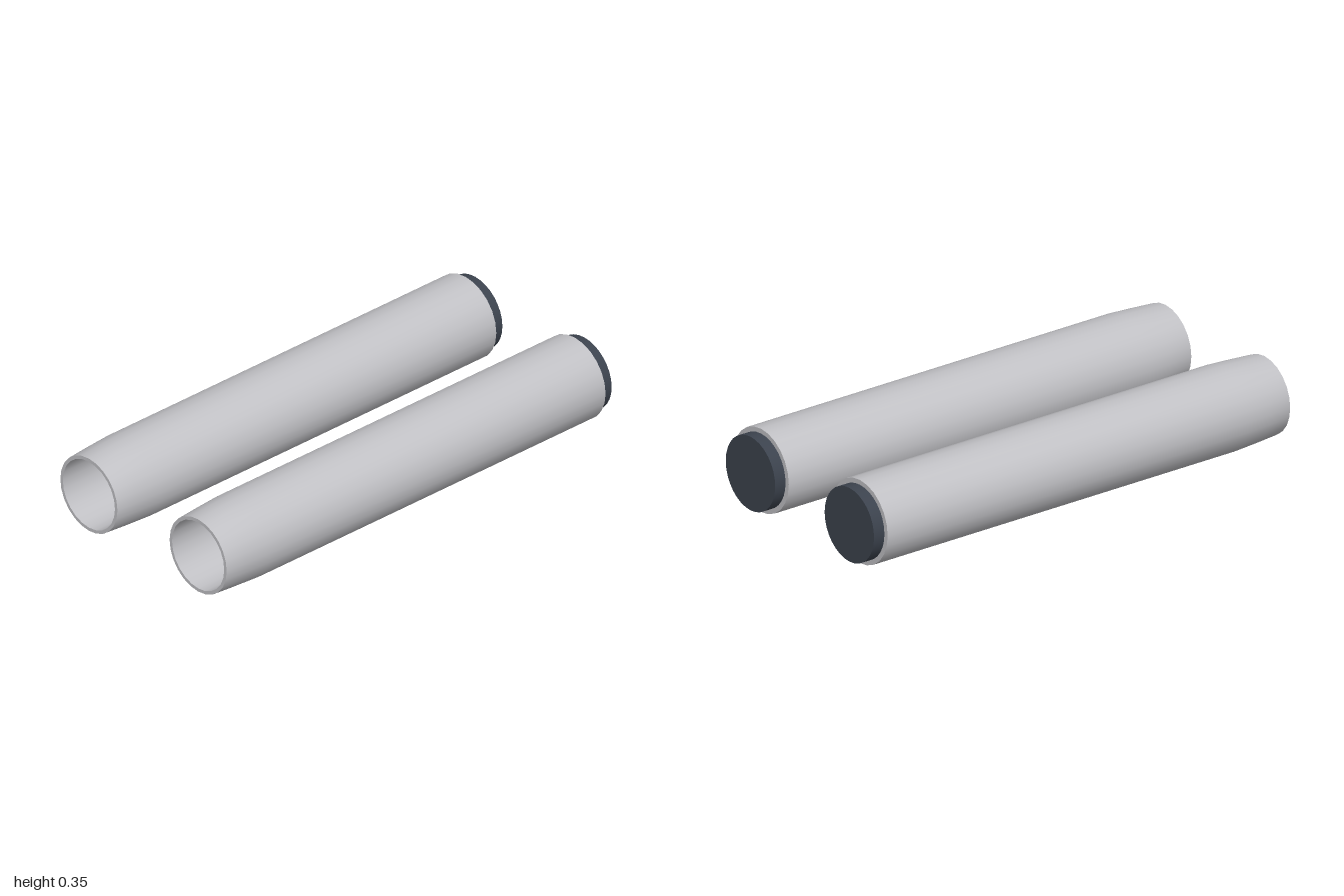
import * as THREE from 'three';
import { toCreasedNormals } from 'three/addons/utils/BufferGeometryUtils.js';

const SIDES = 24;
const AXIS_Y = 0.174;
const AXIS_Z = 0.306;

export function createModel() {
  const model = new THREE.Group();
  model.name = 'tubePair';

  const tubeGrey = new THREE.MeshStandardMaterial({ color: 0xc1c1c5 });
  tubeGrey.name = 'light grey';
  const capGrey = new THREE.MeshStandardMaterial({ color: 0x3c434e });
  capGrey.name = 'dark slate';

  // Hollow tube: tapered mouth at -x, shoulder at +x, then back along the bore
  const profile = [
    [0.16, -1], [0.167, -0.9], [0.173, -0.79], [0.173, 0.95],
    [0.146, 0.95], [0.146, -1], [0.16, -1],
  ].map(([r, x]) => new THREE.Vector2(r, x));
  const tubeGeometry = toCreasedNormals(
    new THREE.LatheGeometry(profile, SIDES).rotateZ(-Math.PI / 2), 0.5);

  // End plug, seated slightly inside the shoulder
  const capGeometry = new THREE.CylinderGeometry(0.153, 0.153, 0.051, 32)
    .rotateZ(-Math.PI / 2);

  for (const side of [1, -1]) {
    const unit = new THREE.Group();
    unit.name = side > 0 ? 'frontTube' : 'backTube';
    unit.position.set(0, AXIS_Y, side * AXIS_Z);

    const tube = new THREE.Mesh(tubeGeometry, tubeGrey);
    tube.name = 'tubeWall';
    const cap = new THREE.Mesh(capGeometry, capGrey);
    cap.name = 'endCap';
    cap.position.x = 0.9745;

    unit.add(tube, cap);
    model.add(unit);
  }
  return model;
}
